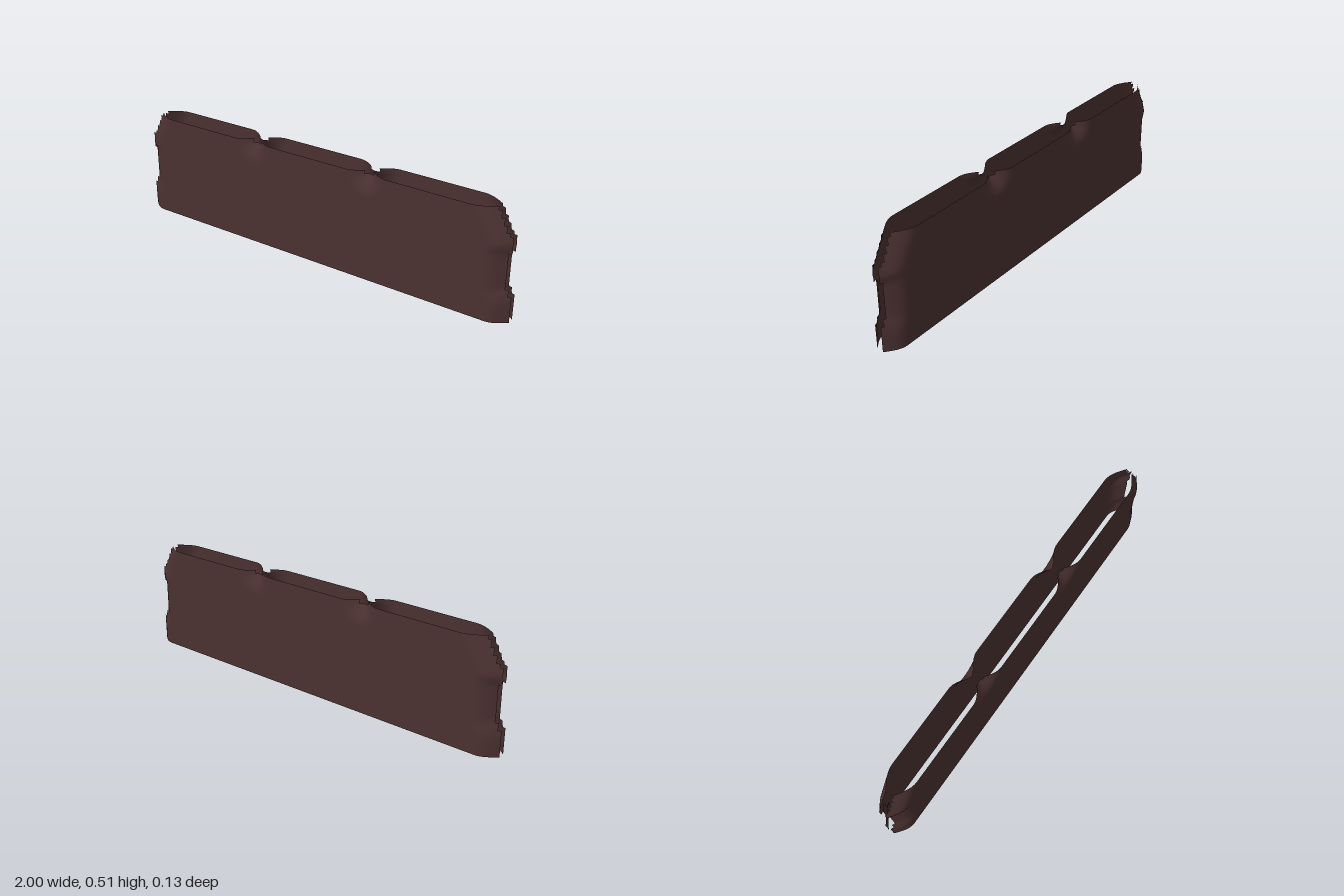
import * as THREE from 'three';

const HEIGHT = 0.515, COLS = 134, ROWS = 34;
const RIM = 0.015, FULL = 0.064, ROUND = 0.09, NOTCH_X = 0.308;

// Outline of one end, from below the foot to above the slanted top corner
const END = [[1, -0.2], [1, 0.09], [0.99, 0.13], [0.973, 0.16], [0.972, 0.31],
  [0.99, 0.35], [0.982, 0.38], [0.91, 0.515], [0.862, 0.6]];

// How far the end reaches at a given height
function endAt(y) {
  const i = END.findIndex((p) => p[1] >= y);
  const [a, b] = [END[i - 1], END[i]];
  return a[0] + (b[0] - a[0]) * (y - a[1]) / (b[1] - a[1]);
}

// Distance inward from the end outline
function endDistance(x, y) {
  if (x >= endAt(y)) return 0;
  let best = Infinity;
  for (let i = 1; i < END.length; i++) {
    const [ax, ay] = END[i - 1], [bx, by] = END[i];
    const ux = bx - ax, uy = by - ay;
    const t = THREE.MathUtils.clamp(((x - ax) * ux + (y - ay) * uy) / (ux * ux + uy * uy), 0, 1);
    best = Math.min(best, Math.hypot(x - ax - t * ux, y - ay - t * uy));
  }
  return best;
}

// Half thickness: full in the middle, rounding in at the ends and the top notches
function halfThickness(x, y) {
  const ax = Math.abs(x);
  const notch = Math.max(0, Math.hypot(ax - NOTCH_X, y - HEIGHT) - 0.012);
  const t = Math.min(1, Math.min(endDistance(ax, y), notch) / ROUND);
  return RIM + (FULL - RIM) * Math.sin(t * Math.PI / 2);
}

// One open sheet; cells beyond the outline are left out, giving the stepped edge
function sheet(side) {
  const positions = [], index = [];
  const px = (i) => -1 + 2 * i / COLS, py = (j) => HEIGHT * j / ROWS;
  for (let j = 0; j <= ROWS; j++) {
    for (let i = 0; i <= COLS; i++) {
      positions.push(px(i), py(j), side * halfThickness(px(i), py(j)));
    }
  }
  for (let j = 0; j < ROWS; j++) {
    for (let i = 0; i < COLS; i++) {
      const cx = Math.abs(px(i + 0.5)), cy = py(j + 0.5);
      const inNotch = j === ROWS - 1 && Math.abs(cx - NOTCH_X) < 0.021;
      if (cx > endAt(cy) || inNotch) continue;
      const a = j * (COLS + 1) + i, b = a + 1, d = a + COLS + 1, c = d + 1;
      if (side > 0) index.push(a, b, c, a, c, d);
      else index.push(a, c, b, a, d, c);
    }
  }
  const geometry = new THREE.BufferGeometry();
  geometry.setAttribute('position', new THREE.Float32BufferAttribute(positions, 3));
  geometry.setIndex(index);
  geometry.computeVertexNormals();
  return geometry;
}

export function createModel() {
  const model = new THREE.Group();
  model.name = 'panel';
  const brown = new THREE.MeshStandardMaterial({ color: 0x4a3030, side: THREE.DoubleSide });
  brown.name = 'dark brown';
  for (const [name, side] of [['frontSheet', 1], ['backSheet', -1]]) {
    const mesh = new THREE.Mesh(sheet(side), brown);
    mesh.name = name;
    model.add(mesh);
  }
  return model;
}
